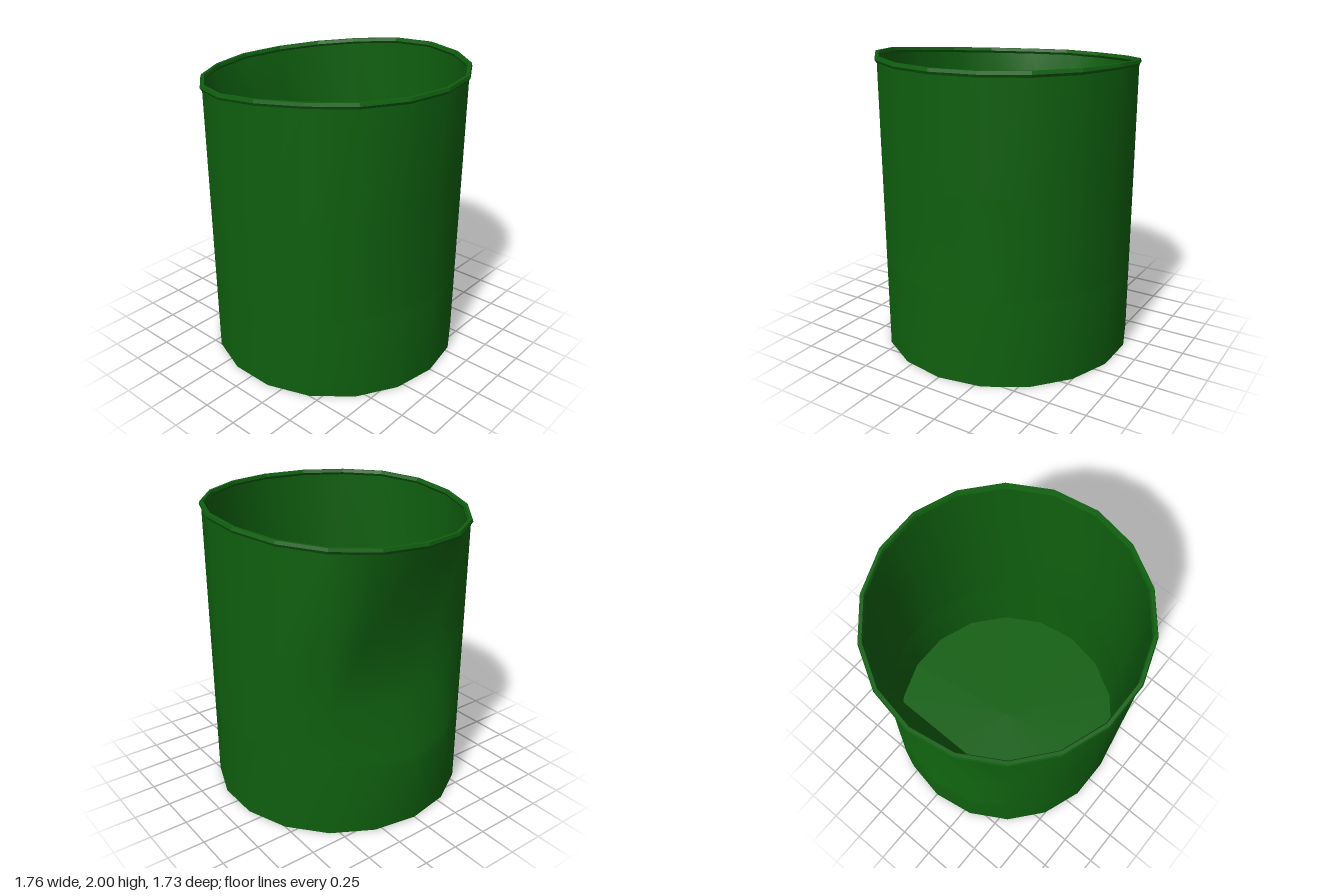
import * as THREE from 'three';

const SIDES = 18;
const RADIUS = 0.866;

// Height of the bent top edge around the can
function topHeight(x, z) {
  return Math.min(2, 1.998 + 0.1 * x - 0.03 * Math.max(0, z) / 0.87);
}

// Skin a stack of closed rings; point(row, angle, column) gives each corner
function skinRings(rows, point) {
  const positions = [], index = [];
  for (let i = 0; i < rows; i++) {
    for (let j = 0; j < SIDES; j++) {
      positions.push(...point(i, (j / SIDES) * Math.PI * 2, j));
    }
  }
  for (let i = 0; i < rows - 1; i++) {
    for (let j = 0; j < SIDES; j++) {
      const k = (j + 1) % SIDES;
      const a = i * SIDES + j, b = i * SIDES + k;
      const c = a + SIDES, d = b + SIDES;
      index.push(a, c, b, b, c, d);
    }
  }
  const geometry = new THREE.BufferGeometry();
  geometry.setAttribute('position', new THREE.Float32BufferAttribute(positions, 3));
  geometry.setIndex(index);
  geometry.computeVertexNormals();
  return geometry;
}

// One wall corner: straight cylinder, pushed in on the -x side, slightly on +x
function wallPoint(row, angle, column) {
  const fromDent = Math.abs(column - SIDES / 2);
  const fromRight = Math.min(column, SIDES - column);
  let x = Math.cos(angle) * RADIUS;
  const z = Math.sin(angle) * RADIUS;
  const lower = 0.43 + 0.045 * Math.min(fromDent, 3);
  const y = [0, lower, lower + 0.04, 0.86, 1.25, topHeight(x, z) - 0.025][row];
  if (fromDent < 2) {
    const deep = -RADIUS * Math.cos(Math.PI * 2 / 9);
    const amount = [0, 0, 0.15, 0.58, 1, 0][row];
    x += (deep - x) * amount;
  }
  if (fromRight < 2) x -= [0, 0.012, 0.013, 0.022, 0.016, 0][row];
  return [x, y, z];
}

export function createModel() {
  const group = new THREE.Group();
  const color = 0x0f5f0f;
  const smooth = new THREE.MeshStandardMaterial({ color, side: THREE.DoubleSide });
  const faceted = new THREE.MeshStandardMaterial({ color, flatShading: true });

  const add = (name, geometry, material) => {
    const mesh = new THREE.Mesh(geometry, material);
    mesh.name = name;
    group.add(mesh);
  };

  // Dented wall
  add('wall', skinRings(6, wallPoint), smooth);

  // Floor
  add('floor', new THREE.CircleGeometry(RADIUS, SIDES).rotateX(Math.PI / 2), smooth);

  // Rolled rim: [radius, drop below the top edge], a closed section
  const section = [
    [0.857, -0.037], [0.87, -0.037], [0.88, -0.02], [0.874, 0],
    [0.853, 0], [0.845, -0.02], [0.857, -0.037],
  ];
  add('rim', skinRings(section.length, (row, angle) => {
    const [r, drop] = section[row];
    const x = Math.cos(angle), z = Math.sin(angle);
    return [x * r, topHeight(x * 0.88, z * 0.88) + drop, z * r];
  }), faceted);

  return group;
}
